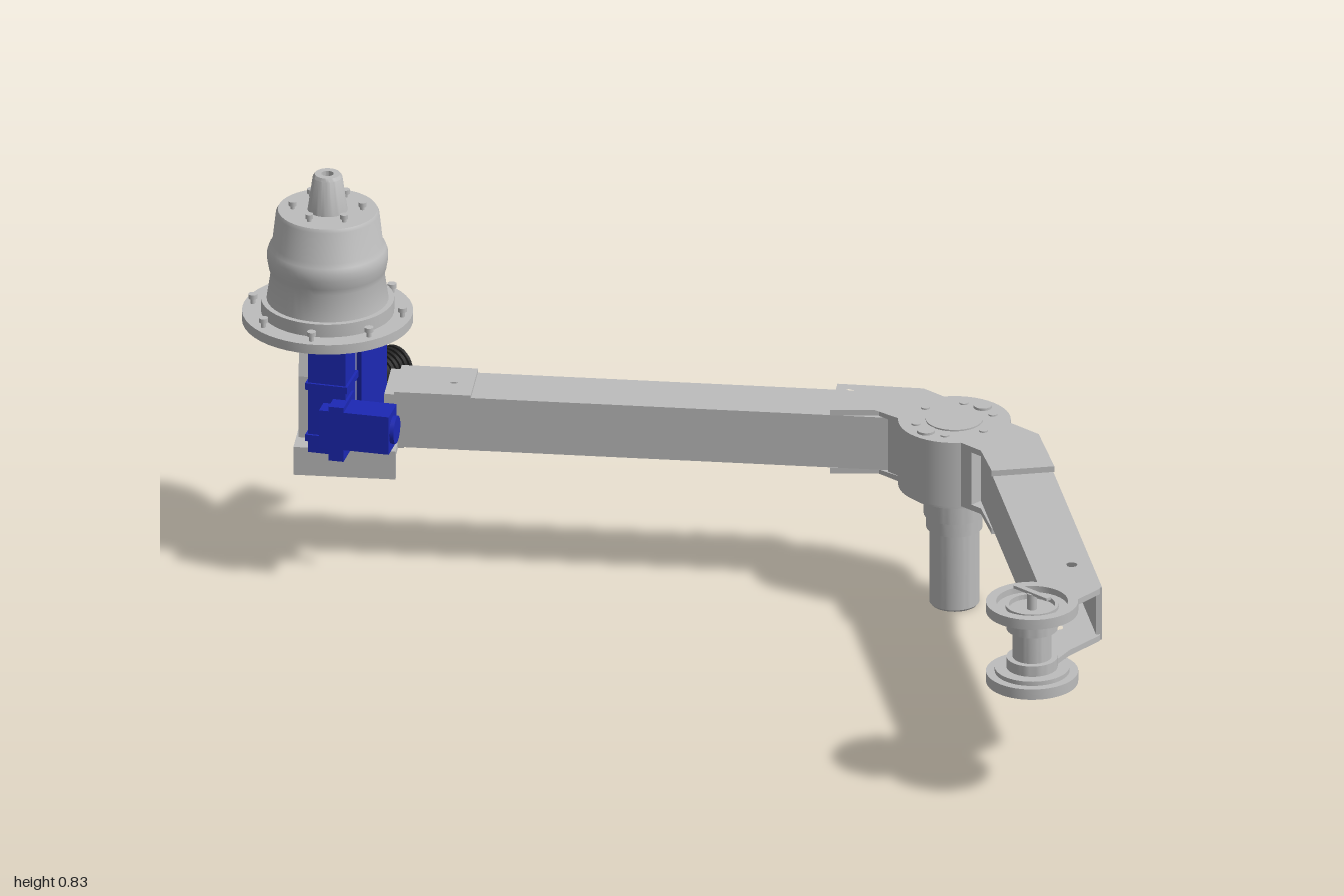
import * as THREE from 'three';
import { toCreasedNormals } from 'three/addons/utils/BufferGeometryUtils.js';

const material = (name, color) => Object.assign(new THREE.MeshStandardMaterial({ color }), { name });

export function createModel() {
  const root = new THREE.Group();
  root.name = 'jointedArm';
  const grey = material('metalGrey', 0xbcbcbc);
  const blue = material('gearboxBlue', 0x1c28b4);
  const black = material('motorBlack', 0x222222);

  const add = (name, geometry, mat, x = 0, y = 0, z = 0, parent = root) => {
    const mesh = new THREE.Mesh(geometry, mat);
    mesh.name = name;
    mesh.position.set(x, y, z);
    parent.add(mesh);
    return mesh;
  };
  const box = (name, mat, w, h, d, x, y, z, turn = 0) => {
    const mesh = add(name, new THREE.BoxGeometry(w, h, d), mat, x, y, z);
    mesh.rotation.y = turn;
    return mesh;
  };
  // Upright cylinder between two heights
  const disc = (name, mat, r, y0, y1, x, z, sides = 32) =>
    add(name, new THREE.CylinderGeometry(r, r, y1 - y0, sides), mat, x, (y0 + y1) / 2, z);
  // Turned part from a [radius, height] profile running upwards
  const turned = (name, mat, profile, x, z) => {
    const points = profile.map(([r, y]) => new THREE.Vector2(r, y));
    add(name, toCreasedNormals(new THREE.LatheGeometry(points, 48), 0.5), mat, x, 0, z);
  };
  // Horizontal plate from [x, z] corners, with round holes
  const plate = (name, mat, corners, y0, y1, holes = [], r = 0.011) => {
    const shape = new THREE.Shape(corners.map(([x, z]) => new THREE.Vector2(x, -z)));
    for (const [x, z] of holes) {
      const hole = new THREE.Path();
      hole.absarc(x, -z, r, 0, Math.PI * 2, true);
      shape.holes.push(hole);
    }
    const geometry = new THREE.ExtrudeGeometry(shape, { depth: y1 - y0, bevelEnabled: false, curveSegments: 8 });
    geometry.rotateX(-Math.PI / 2);
    return add(name, geometry, mat, 0, y0, 0);
  };
  // Ring of small cap screws
  const screws = (name, count, ring, r, y0, y1, cx, cz) => {
    for (let i = 0; i < count; i++) {
      const a = ((i + 0.3) / count) * Math.PI * 2;
      const x = cx + ring * Math.cos(a), z = cz + ring * Math.sin(a);
      disc(name, grey, r * 0.55, y0, y1, x, z, 10);
      disc(name + 'Head', grey, r, y1 - 0.009, y1, x, z, 12);
    }
  };

  // Local frames along the two beams: u runs outwards, v across
  const frame = (ox, oz, dx, dz) => (u, v) => [ox + dx * u - dz * v, oz + dz * u + dx * v];
  const longFrame = frame(0.043, -0.37, -0.797, 0.604);
  const shortFrame = frame(0.342, -0.38, 0.805, 0.593);
  const strip = (f, u0, u1, v0, v1) => [f(u0, v0), f(u1, v0), f(u1, v1), f(u0, v1)];

  // Hollow box beams
  const beam = (name, f, length, holes) => {
    const outline = strip(f, -0.02, length, -0.06, 0.06);
    plate(name + 'Bottom', grey, outline, 0.267, 0.279, holes);
    plate(name + 'Top', grey, outline, 0.367, 0.379, holes);
    plate(name + 'Wall', grey, strip(f, -0.02, length, -0.06, -0.048), 0.267, 0.379);
    plate(name + 'Wall', grey, strip(f, -0.02, length, 0.048, 0.06), 0.267, 0.379);
  };
  const longEar = [longFrame(0.03, 0), longFrame(0.095, -0.03), longFrame(0.095, 0.03)];
  const shortEar = [shortFrame(0.03, 0), shortFrame(0.095, -0.03), shortFrame(0.095, 0.03)];
  const longEnd = [longFrame(0.87, 0)];
  const shortEnd = [shortFrame(0.56, -0.02), shortFrame(0.63, 0.02)];
  beam('longBeam', longFrame, 1.0, [...longEar, ...longEnd]);
  beam('shortBeam', shortFrame, 0.675, [...shortEar, ...shortEnd]);

  // Elbow bracket clamping both beams
  const hubX = 0.187, hubZ = -0.38;
  const elbow = [
    longFrame(0.125, 0.062), [0.043, -0.444], [0.353, -0.444], shortFrame(0.125, -0.062),
    shortFrame(0.125, 0.062), [0.325, -0.31], [0.05, -0.31], longFrame(0.125, -0.062),
  ];
  for (const y of [0.255, 0.379]) plate('elbowPlate', grey, elbow, y, y + 0.012, [...longEar, ...shortEar]);
  plate('elbowCore', grey, [[0.075, -0.444], [0.3, -0.444], [0.3, -0.31], [0.075, -0.31]], 0.267, 0.379);
  disc('elbowHub', grey, 0.11, 0.254, 0.391, hubX, hubZ, 48);
  disc('elbowCap', grey, 0.056, 0.391, 0.394, hubX, hubZ, 40);
  for (const s of [-1, 1]) disc('elbowPin', grey, 0.018, 0.391, 0.396, hubX, hubZ + s * 0.08, 20);
  for (let i = 0; i < 6; i++) {
    const a = (i / 6) * Math.PI * 2;
    disc('elbowScrew', grey, 0.009, 0.391, 0.394, hubX + 0.078 * Math.cos(a), hubZ + 0.078 * Math.sin(a), 12);
  }

  // Mounting post below the elbow
  turned('mountingPost', grey, [
    [0, 0], [0.046, 0], [0.049, 0.004], [0.049, 0.163], [0.055, 0.163], [0.055, 0.192],
    [0.06, 0.192], [0.06, 0.242], [0.093, 0.242], [0.093, 0.256], [0, 0.256],
  ], hubX, hubZ);

  // Fork and spool at the end of the short beam
  const spoolX = 0.91, spoolZ = 0.158;
  const tongue = [shortFrame(0.66, -0.06), [0.922, -0.02], [0.927, 0.07], [0.95, 0.158], [0.87, 0.158], shortFrame(0.66, 0.06)];
  plate('lowerFork', grey, tongue, 0.267, 0.279);
  plate('upperFork', grey, tongue, 0.367, 0.379);
  turned('spool', grey, [
    [0, 0.25], [0.07, 0.25], [0.07, 0.237], [0.09, 0.237], [0.09, 0.259], [0.073, 0.259], [0.073, 0.268],
    [0.05, 0.268], [0.05, 0.29], [0.038, 0.29], [0.038, 0.35], [0.05, 0.35], [0.05, 0.38], [0.073, 0.38],
    [0.073, 0.387], [0.09, 0.387], [0.09, 0.408], [0.07, 0.408], [0.07, 0.395], [0.052, 0.395],
    [0.052, 0.402], [0.045, 0.402], [0.045, 0.392], [0, 0.392],
  ], spoolX, spoolZ);
  disc('spoolStud', grey, 0.01, 0.39, 0.425, spoolX, spoolZ, 16);
  box('spoolClip', grey, 0.09, 0.006, 0.012, spoolX, 0.426, spoolZ);

  // Bell housing with flange and nose
  const bellX = -0.833, bellZ = 0.321;
  turned('bellHousing', grey, [
    [0, 0.516], [0.167, 0.516], [0.167, 0.536], [0.13, 0.536], [0.13, 0.563], [0.119, 0.563],
    [0.111, 0.617], [0.115, 0.63], [0.118, 0.648], [0.118, 0.662], [0.114, 0.674], [0.108, 0.683],
    [0.101, 0.745], [0.097, 0.752], [0.039, 0.752], [0.029, 0.822], [0.025, 0.828],
    [0.012, 0.828], [0.012, 0.815], [0, 0.815],
  ], bellX, bellZ);
  screws('flangeScrew', 8, 0.149, 0.009, 0.534, 0.556, bellX, bellZ);
  screws('bellScrew', 6, 0.068, 0.008, 0.75, 0.768, bellX, bellZ);

  // Blue gearbox under the flange
  const turn = Math.atan2(0.604, 0.797);
  disc('gearboxRing', blue, 0.132, 0.507, 0.516, bellX, bellZ, 40);
  disc('gearboxNeck', blue, 0.09, 0.485, 0.508, bellX, bellZ, 32);
  box('gearboxColumn', blue, 0.075, 0.23, 0.075, -0.775, 0.393, 0.37, 0.5);
  box('gearboxRear', blue, 0.1, 0.2, 0.08, -0.825, 0.4, 0.255, 0.1);
  for (const y of [0.31, 0.42]) box('gearboxRib', blue, 0.085, 0.014, 0.085, -0.775, y, 0.37, 0.5);

  // Side drive with round boss
  box('sideDrive', blue, 0.14, 0.08, 0.065, -0.7, 0.347, 0.375, 0.52);
  box('sideDriveCollar', blue, 0.03, 0.115, 0.085, -0.735, 0.34, 0.385, 0.52);
  const boss = disc('sideBoss', blue, 0.028, 0, 0.012, 0, 0, 24);
  boss.position.set(-0.637, 0.347, 0.339);
  boss.rotation.set(0, 0.52, -Math.PI / 2);

  // Grey support block beside the gearbox
  const support = new THREE.Shape([[-0.07, 0], [0.07, 0], [0.07, 0.13], [0.045, 0.225], [-0.045, 0.225], [-0.07, 0.13]]
    .map(([x, y]) => new THREE.Vector2(x, y)));
  const supportGeometry = new THREE.ExtrudeGeometry(support, { depth: 0.11, bevelEnabled: false });
  supportGeometry.translate(0, 0, -0.055).rotateY(Math.PI / 2 + turn);
  add('supportBlock', supportGeometry, grey, -0.85, 0.278, 0.295);

  // Downward open channel under the long beam's end
  box('channelWeb', grey, 0.2, 0.012, 0.16, -0.8, 0.269, 0.295, turn);
  for (const s of [-1, 1]) {
    const v = s * 0.074;
    box('channelFlange', grey, 0.2, 0.055, 0.012, -0.8 + 0.604 * v, 0.243, 0.295 + 0.797 * v, turn);
  }
  plate('endClampPlate', grey, strip(longFrame, 0.83, 0.98, -0.064, 0.064), 0.379, 0.386, longEnd);

  // Black motor with cooling fins
  const motor = new THREE.Group();
  motor.name = 'motor';
  motor.position.set(-0.85, 0.335, 0.23);
  motor.rotation.y = 0.1;
  root.add(motor);
  const motorPart = (name, r, length, z) => {
    const geometry = new THREE.CylinderGeometry(r, r, length, 28).rotateX(Math.PI / 2);
    add(name, geometry, black, 0, 0, z, motor);
  };
  motorPart('motorBody', 0.036, 0.13, -0.07);
  for (let i = 0; i < 5; i++) motorPart('motorFin', 0.041, 0.007, -0.08 - i * 0.013);

  return root;
}
